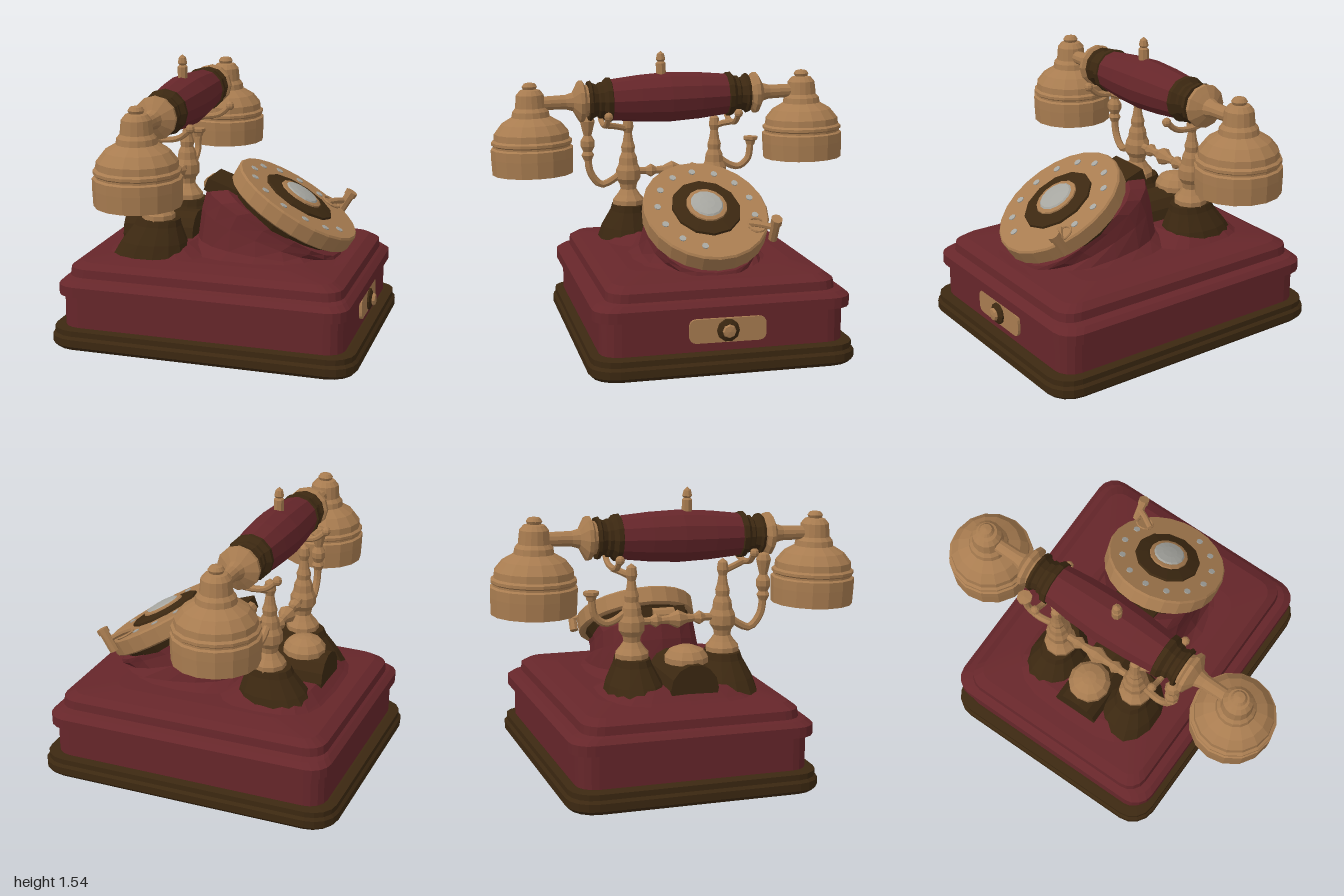
import * as THREE from 'three';

const paint = (name, color) => Object.assign(new THREE.MeshStandardMaterial({ color }), { name });

export function createModel() {
  const red = paint('burgundy', 0x66262a);
  const tan = paint('brass', 0xa87c50);
  const dark = paint('dark wood', 0x3c2811);
  const grey = paint('silver grey', 0xa6a6a0);
  const root = new THREE.Group();
  root.name = 'telephone';
  const CZ = -0.06; // centre line of base and dial

  // Faceted mesh
  function add(parent, name, geo, mat, x = 0, y = 0, z = 0) {
    const g = geo.index ? geo.toNonIndexed() : geo;
    g.computeVertexNormals();
    const m = new THREE.Mesh(g, mat);
    m.name = name;
    m.position.set(x, y, z);
    parent.add(m);
    return m;
  }
  const lathe = (pts, n = 12) => new THREE.LatheGeometry(pts.map(p => new THREE.Vector2(p[0], p[1])), n);
  const cyl = (r, h, n = 12, r2 = r) => new THREE.CylinderGeometry(r2, r, h, n);
  const tube = (pts, r, n = 14) => new THREE.TubeGeometry(
    new THREE.CatmullRomCurve3(pts.map(p => new THREE.Vector3(...p))), n, r, 7);

  // Closed skin over a stack of loops running from bottom to top
  function loft(loops) {
    const pos = [], n = loops[0].length;
    const tri = (...ps) => ps.forEach(p => pos.push(p.x, p.y, p.z));
    for (let k = 0; k < loops.length - 1; k++) {
      for (let i = 0; i < n; i++) {
        const j = (i + 1) % n;
        const a = loops[k][i], b = loops[k][j], c = loops[k + 1][j], d = loops[k + 1][i];
        tri(a, d, b);
        tri(b, d, c);
      }
    }
    const mid = l => l.reduce((s, p) => s.add(p), new THREE.Vector3()).divideScalar(n);
    const lo = loops[0], hi = loops[loops.length - 1], cl = mid(lo), ch = mid(hi);
    for (let i = 0; i < n; i++) {
      const j = (i + 1) % n;
      tri(cl, lo[i], lo[j]);
      tri(ch, hi[j], hi[i]);
    }
    const g = new THREE.BufferGeometry();
    g.setAttribute('position', new THREE.Float32BufferAttribute(pos, 3));
    return g;
  }

  // Rounded rectangle, slightly wider towards the dial and slightly tilted
  function slab([y, hx, hz, r]) {
    const out = [];
    for (let c = 0; c < 4; c++) {
      const sx = c === 0 || c === 3 ? 1 : -1, sz = c < 2 ? 1 : -1;
      for (let s = 0; s <= 4; s++) {
        const a = (c + s / 4) * Math.PI / 2;
        const x = sx * (hx - r) + r * Math.cos(a), z = sz * (hz - r) + r * Math.sin(a);
        out.push(new THREE.Vector3(x, y + 0.01 - 0.006 * x - 0.009 * z, -0.072 + z * (1 + 0.022 * x)));
      }
    }
    return out;
  }
  // Oval loop with optional slope along x; power under 1 squares it off
  function oval([cx, cy, hx, hz, slope = 0], cz, n = 20, power = 0.8) {
    return Array.from({ length: n }, (_, i) => {
      const a = i / n * Math.PI * 2, c = Math.cos(a), s = Math.sin(a);
      const x = hx * Math.sign(c) * Math.abs(c) ** power;
      return new THREE.Vector3(cx + x, cy - slope * x, cz + hz * Math.sign(s) * Math.abs(s) ** power);
    });
  }

  // Base: plinth, body with stepped cornice
  add(root, 'plinth', loft([[0, 0.82, 0.665, 0.13], [0.02, 0.838, 0.683, 0.14], [0.06, 0.838, 0.683, 0.14],
    [0.075, 0.825, 0.67, 0.13], [0.105, 0.825, 0.67, 0.13], [0.112, 0.78, 0.63, 0.11]].map(slab)), dark);
  add(root, 'baseBody', loft([[0.1, 0.77, 0.625, 0.1], [0.285, 0.77, 0.625, 0.1], [0.29, 0.792, 0.66, 0.11],
    [0.345, 0.792, 0.66, 0.11], [0.37, 0.765, 0.63, 0.11], [0.38, 0.75, 0.59, 0.1], [0.425, 0.745, 0.585, 0.1],
    [0.455, 0.69, 0.545, 0.08], [0.475, 0.5, 0.43, 0.1]].map(slab)), red);
  add(root, 'cradleMound', loft([[-0.3, 0.45, 0.36, 0.47], [-0.32, 0.49, 0.28, 0.41], [-0.34, 0.54, 0.2, 0.34]]
    .map(s => oval(s, CZ, 20, 0.6))), red);

  // Sloping housing under the dial
  add(root, 'dialHousing', loft([[0.22, 0.465, 0.47, 0.39], [0.23, 0.505, 0.39, 0.31, 0.1], [0.22, 0.585, 0.36, 0.28, 0.35],
    [0.26, 0.64, 0.37, 0.27, 0.5], [0.31, 0.66, 0.31, 0.27, 0.58]].map(s => oval(s, CZ))), red);
  add(root, 'housingSaddle', new THREE.BoxGeometry(0.18, 0.07, 0.25), dark, -0.01, 0.815, -0.04).rotation.z = -0.35;
  const roll = add(root, 'saddleRoll', cyl(0.042, 0.12, 10), tan, -0.085, 0.83, -0.04);
  roll.rotation.x = Math.PI / 2;

  // Dial assembly, local y is its facing direction
  const dial = new THREE.Group();
  dial.name = 'dial';
  dial.position.set(0.39, 0.77, CZ);
  dial.rotation.z = -0.548;
  dial.scale.x = 1.13;
  root.add(dial);
  add(dial, 'dialBacking', cyl(0.27, 0.06, 20, 0.3), dark, -0.01, -0.12, 0);
  add(dial, 'dialPlate', lathe([[0, -0.1], [0.315, -0.1], [0.328, -0.09], [0.33, -0.01], [0.322, 0], [0, 0]], 24), tan);
  add(dial, 'dialRing', lathe([[0.185, -0.01], [0.18, 0.012], [0.12, 0.022], [0, 0.022]], 12), dark);
  add(dial, 'capRim', lathe([[0.11, 0.015], [0.106, 0.03], [0.09, 0.034], [0, 0.034]], 14), tan);
  add(dial, 'dialCap', lathe([[0.09, 0.03], [0.078, 0.041], [0.04, 0.047], [0, 0.049]], 14), grey);
  for (let i = 0; i < 11; i++) {
    const a = 0.25 + i * 0.47;
    add(dial, 'fingerHole', cyl(0.018, 0.006, 8), grey, 0.255 * Math.cos(a), 0.002, 0.255 * Math.sin(a));
  }
  // Finger stop
  const loop = add(dial, 'stopLoop', new THREE.TorusGeometry(0.045, 0.007, 6, 14), tan, 0.13, 0.006, -0.24);
  loop.rotation.x = Math.PI / 2;
  add(dial, 'stopArm', tube([[0.12, 0.01, -0.2], [0.15, 0.025, -0.26], [0.18, 0.03, -0.32]], 0.016), tan);
  add(dial, 'stopPost', cyl(0.024, 0.13, 8), tan, 0.185, 0.025, -0.315);
  add(dial, 'stopHead', cyl(0.03, 0.03, 8), tan, 0.185, 0.085, -0.315);

  // Plaque and knob on the dial end of the base
  const shape = new THREE.Shape();
  shape.moveTo(-0.16, -0.062).lineTo(0.16, -0.062).quadraticCurveTo(0.2, -0.062, 0.2, -0.02).lineTo(0.2, 0.02)
    .quadraticCurveTo(0.2, 0.062, 0.16, 0.062).lineTo(-0.16, 0.062).quadraticCurveTo(-0.2, 0.062, -0.2, 0.02)
    .lineTo(-0.2, -0.02).quadraticCurveTo(-0.2, -0.062, -0.16, -0.062);
  const plaque = add(root, 'drawerPlaque', new THREE.ExtrudeGeometry(shape, { depth: 0.025, bevelEnabled: false, curveSegments: 4 }),
    tan, 0.76, 0.225, -0.077);
  plaque.rotation.y = Math.PI / 2;
  const knob = new THREE.Group();
  knob.name = 'drawerKnob';
  knob.position.set(0.78, 0.225, -0.077);
  knob.rotation.z = -Math.PI / 2;
  root.add(knob);
  add(knob, 'knobRing', lathe([[0.06, 0], [0.058, 0.015], [0.035, 0.025], [0, 0.025]], 10), dark);
  add(knob, 'knobHead', lathe([[0.022, 0.02], [0.036, 0.03], [0.03, 0.042], [0, 0.046]], 8), tan);

  // Cradle: dark drum with a brass dome between two posts
  const drum = add(root, 'drum', cyl(0.13, 0.4, 14), dark, -0.365, 0.54, -0.02);
  drum.rotation.z = Math.PI / 2;
  add(root, 'drumDome', lathe([[0.115, 0], [0.115, 0.03], [0.09, 0.065], [0.04, 0.085], [0, 0.09]], 12), tan, -0.42, 0.655, -0.02);
  const PX = -0.32;
  for (const [side, z] of [[1, 0.215], [-1, -0.285]]) {
    const post = new THREE.Group();
    post.name = side > 0 ? 'leftPost' : 'rightPost';
    root.add(post);
    add(post, 'postFoot', loft([[-0.36, 0.48, 0.21, 0.165], [-0.345, 0.55, 0.18, 0.145], [-0.325, 0.64, 0.13, 0.1],
      [-0.32, 0.675, 0.12, 0.09]].map(s => oval(s, z, 14, 0.9))), dark);
    add(post, 'postColumn', lathe([[0.09, 0.66], [0.09, 0.7], [0.065, 0.73], [0.045, 0.76], [0.05, 0.79], [0.07, 0.82],
      [0.07, 0.87], [0.055, 0.9], [0.05, 0.94], [0.036, 0.97], [0.04, 1.0], [0.03, 1.03], [0.022, 1.08],
      [0.032, 1.11], [0.026, 1.15], [0, 1.17]], 10), tan, PX, 0, z);
    // Yoke carrying the handset
    const zy = side * 0.365;
    add(post, 'yokeStem', tube([[PX, 1.1, z], [-0.29, 1.12, z + 0.5 * (zy - z)], [-0.24, 1.135, zy]], 0.018), tan);
    add(post, 'yoke', tube([[-0.39, 1.2, zy], [-0.33, 1.15, zy], [-0.24, 1.135, zy], [-0.15, 1.15, zy], [-0.09, 1.2, zy]], 0.016), tan);
    for (const x of [-0.39, -0.09]) add(post, 'yokeKnob', new THREE.SphereGeometry(0.025, 8, 6), tan, x, 1.2, zy);
    // Curled side hook
    if (side > 0) {
      add(post, 'hook', tube([[PX, 0.88, 0.22], [PX, 0.81, 0.31], [PX, 0.79, 0.37], [PX, 0.86, 0.43], [PX, 0.98, 0.445]], 0.021), tan);
      add(post, 'hookSpindle', lathe([[0.022, 0.93], [0.036, 0.96], [0.025, 0.98], [0.04, 1.01], [0.04, 1.04], [0.022, 1.07],
        [0.03, 1.1], [0.042, 1.15], [0.03, 1.18], [0, 1.19]], 8), tan, PX, 0, 0.445);
    } else {
      add(post, 'hook', tube([[PX, 0.93, -0.3], [PX, 0.88, -0.37], [PX, 0.865, -0.43], [PX, 0.91, -0.485], [PX, 1.0, -0.5]], 0.02), tan);
      add(post, 'hookCup', lathe([[0, 0.98], [0.024, 0.99], [0.03, 1.01], [0.042, 1.02], [0.042, 1.035], [0, 1.04]], 8), tan, PX, 0, -0.5);
    }
  }
  const link = add(root, 'postLink', lathe([[0.02, -0.24], [0.02, -0.15], [0.038, -0.12], [0.02, -0.09], [0.025, -0.05], [0.05, 0],
    [0.025, 0.05], [0.02, 0.09], [0.038, 0.12], [0.02, 0.15], [0.02, 0.24]], 8), tan, PX, 0.86, -0.035);
  link.rotation.x = Math.PI / 2;

  // Handset, lying along z with a slight tilt
  const handset = new THREE.Group();
  handset.name = 'handset';
  handset.position.set(-0.235, 1.285, 0);
  handset.rotation.x = 0.025;
  root.add(handset);
  const along = pts => lathe(pts, 12).rotateX(Math.PI / 2);
  add(handset, 'grip', along([[0, -0.34], [0.113, -0.335], [0.13, -0.17], [0.139, 0], [0.13, 0.17], [0.113, 0.335], [0, 0.34]]), red);
  add(handset, 'finial', lathe([[0.028, 0.12], [0.028, 0.19], [0.018, 0.2], [0.027, 0.21], [0.02, 0.24], [0, 0.257]], 8), tan, 0, 0, 0.04);
  for (const s of [1, -1]) {
    const end = new THREE.Group();
    end.name = s > 0 ? 'leftEnd' : 'rightEnd';
    end.rotation.y = s > 0 ? 0 : Math.PI;
    handset.add(end);
    add(end, 'collar', along([[0.1, 0.32], [0.123, 0.33], [0.123, 0.355], [0.1, 0.375], [0.1, 0.395], [0.088, 0.405],
      [0.098, 0.43], [0.112, 0.44], [0.108, 0.455], [0, 0.46]]), dark);
    add(end, 'flange', along([[0.085, 0.45], [0.09, 0.47], [0.115, 0.485], [0.115, 0.505], [0.08, 0.525], [0.052, 0.54],
      [0.04, 0.58], [0.037, 0.7], [0.045, 0.78], [0, 0.79]]), tan);
    add(end, 'earpiece', lathe([[0, -0.38], [0.222, -0.38], [0.226, -0.29], [0.226, -0.24], [0.213, -0.232], [0.213, -0.222],
      [0.222, -0.215], [0.222, -0.2], [0.208, -0.19], [0.205, -0.155], [0.165, -0.105], [0.105, -0.07], [0.1, -0.04],
      [0.083, -0.02], [0.076, 0.05], [0.055, 0.075], [0.035, 0.08], [0.042, 0.095], [0.03, 0.112], [0, 0.118]], 16),
      tan, 0, 0, 0.773);
  }
  return root;
}
